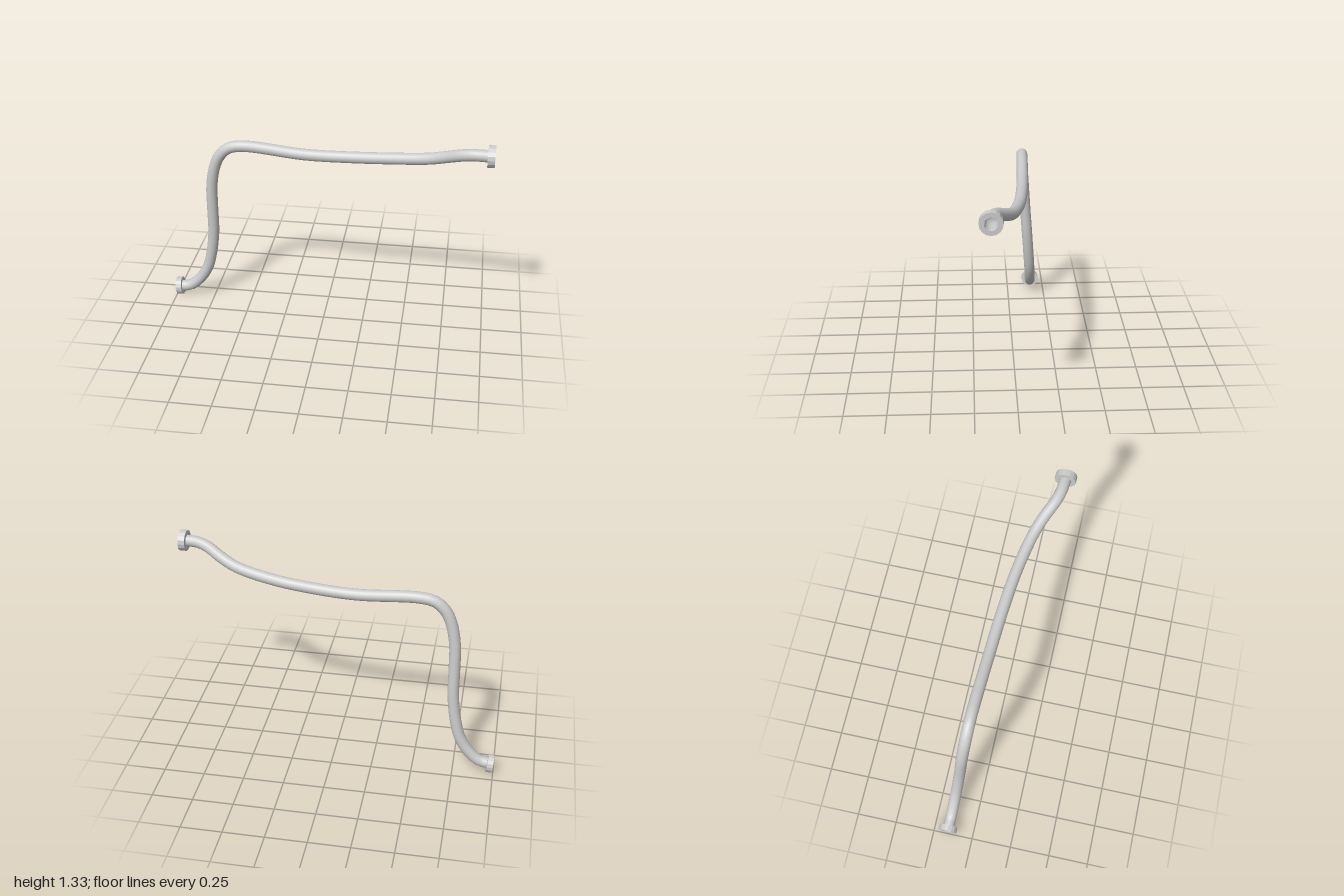
import * as THREE from 'three';

const material = new THREE.MeshStandardMaterial({ color: 0xcccccc, side: THREE.DoubleSide });

// Ring collar with a through hole, its axis turned to the given direction
function makeCollar(name, center, axis, outer, inner, depth) {
  const shape = new THREE.Shape().absarc(0, 0, outer, 0, Math.PI * 2, false);
  shape.holes.push(new THREE.Path().absarc(0, 0, inner, 0, Math.PI * 2, true));
  const geometry = new THREE.ExtrudeGeometry(shape, { depth, bevelEnabled: false, curveSegments: 8 });
  geometry.translate(0, 0, -depth / 2);
  const collar = new THREE.Mesh(geometry, material);
  collar.name = name;
  collar.position.set(...center);
  collar.quaternion.setFromUnitVectors(new THREE.Vector3(0, 0, 1), new THREE.Vector3(...axis).normalize());
  return collar;
}

export function createModel() {
  const group = new THREE.Group();
  group.name = 'bentPipe';

  // Bent pipe: low inlet, steep riser, long run, raised outlet
  const path = [
    [-0.975, 0.064, -0.159], [-0.91, 0.075, -0.157], [-0.84, 0.134, -0.153],
    [-0.783, 0.225, -0.147], [-0.75, 0.337, -0.139], [-0.725, 0.503, -0.127],
    [-0.72, 0.69, -0.113], [-0.714, 0.85, -0.102], [-0.687, 0.984, -0.092],
    [-0.65, 1.064, -0.086], [-0.59, 1.118, -0.082], [-0.5, 1.136, -0.079],
    [-0.126, 1.112, -0.063], [0.115, 1.118, -0.048], [0.38, 1.139, -0.02],
    [0.62, 1.176, 0.03], [0.73, 1.214, 0.073], [0.82, 1.251, 0.12],
    [0.89, 1.266, 0.142], [0.97, 1.267, 0.149],
  ].map((p) => new THREE.Vector3(...p));
  const curve = new THREE.CatmullRomCurve3(path);
  const pipe = new THREE.Mesh(new THREE.TubeGeometry(curve, 72, 0.035, 16, false), material);
  pipe.name = 'pipe';
  group.add(pipe);

  // End collars
  group.add(makeCollar('lowerCollar', [-0.978, 0.063, -0.16], [-1, -0.12, 0], 0.057, 0.035, 0.037));
  group.add(makeCollar('upperCollar', [0.978, 1.267, 0.15], [1, 0, 0.03], 0.064, 0.037, 0.042));
  return group;
}
